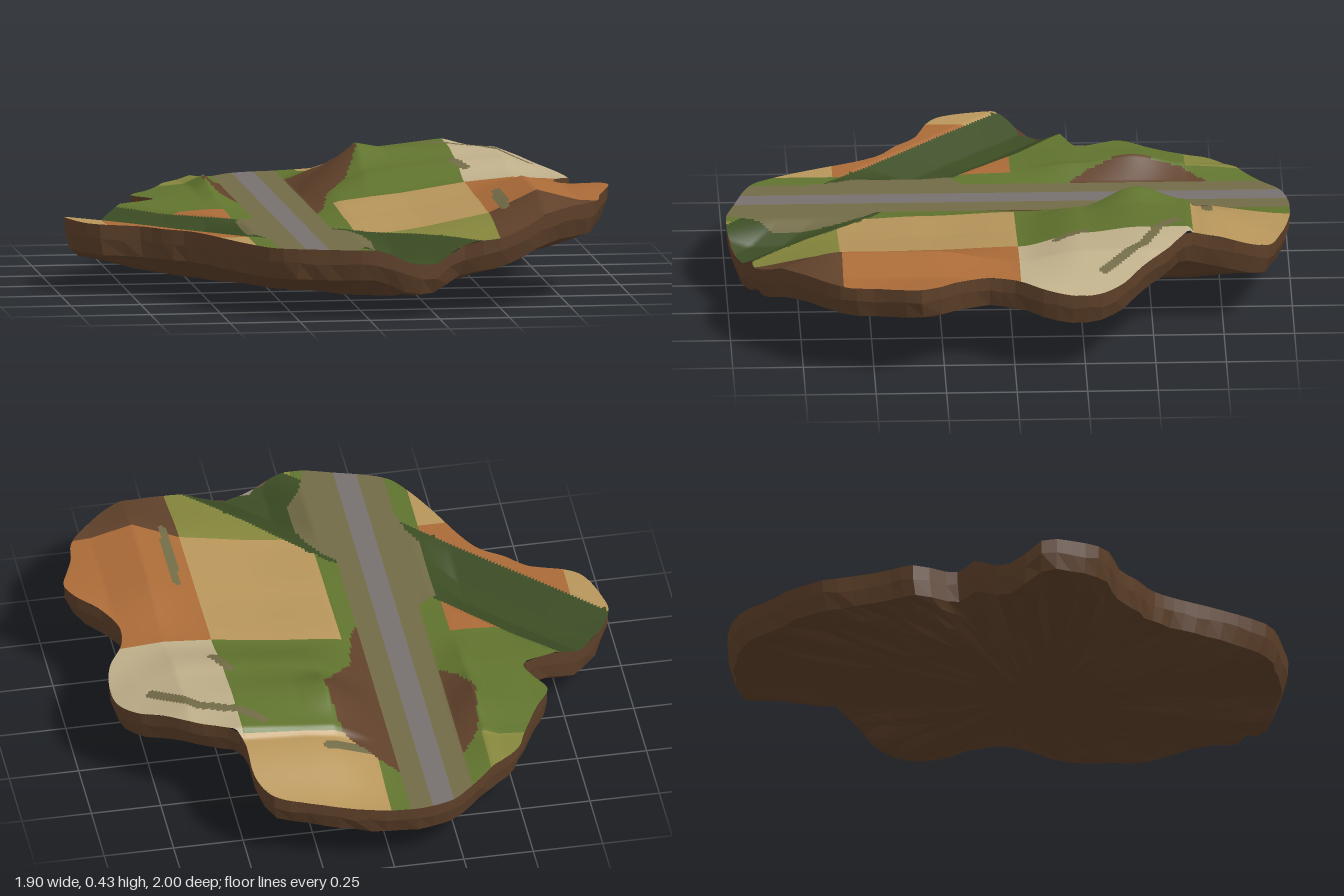
import * as THREE from 'three';

// one material per ground colour
const mat = (name, color) => Object.assign(new THREE.MeshStandardMaterial({ color }), { name });
const materials = {
  grass: mat('grass green', 0x61742e),
  tanField: mat('tan crop', 0xb8965b),
  clayField: mat('orange clay', 0xab6b38),
  paleField: mat('pale soil', 0xbfaf8a),
  oliveField: mat('olive crop', 0x85863c),
  ditch: mat('dark green', 0x3c4d24),
  road: mat('road grey', 0x77726e),
  verge: mat('verge khaki', 0x726b47),
  cutting: mat('bare dirt', 0x61422b),
};
const earth = mat('earth brown', 0x5f412a);

// island outline as x, z pairs
const OUTLINE = [
  -0.22, -0.97, -0.1, -1, 0, -1, 0.15, -0.98, 0.3, -0.95, 0.42, -0.91, 0.47, -0.83, 0.485, -0.65,
  0.55, -0.59, 0.65, -0.53, 0.75, -0.44, 0.82, -0.38, 0.87, -0.3, 0.88, -0.2, 0.86, -0.1, 0.8, 0,
  0.79, 0.1, 0.84, 0.2, 0.92, 0.28, 0.945, 0.34, 0.92, 0.42, 0.89, 0.5, 0.87, 0.6, 0.78, 0.71,
  0.66, 0.82, 0.5, 0.91, 0.42, 0.92, 0.33, 0.91, 0.25, 0.95, 0.12, 0.99, -0.02, 1, -0.13, 0.97,
  -0.32, 0.9, -0.38, 0.82, -0.45, 0.68, -0.52, 0.52, -0.57, 0.44, -0.65, 0.38, -0.72, 0.31,
  -0.85, 0.26, -0.9, 0.22, -0.945, 0.1, -0.955, 0, -0.88, -0.08, -0.74, -0.2, -0.6, -0.26,
  -0.62, -0.33, -0.66, -0.41, -0.6, -0.51, -0.53, -0.65, -0.5, -0.72, -0.38, -0.83, -0.28, -0.92,
];

// piecewise linear lookup through [position, value] pairs
function ramp(pairs, t) {
  if (t <= pairs[0][0]) return pairs[0][1];
  for (let i = 1; i < pairs.length; i++) {
    const [a, va] = pairs[i - 1], [b, vb] = pairs[i];
    if (t <= b) return va + (vb - va) * (t - a) / (b - a || 1);
  }
  return pairs[pairs.length - 1][1];
}

// outline radius by angle, from a smooth closed curve
const corners = [];
for (let i = 0; i < OUTLINE.length; i += 2) corners.push(new THREE.Vector3(OUTLINE[i], 0, OUTLINE[i + 1]));
const polar = new THREE.CatmullRomCurve3(corners, true).getPoints(220).slice(1)
  .map((p) => [Math.atan2(p.z, p.x), Math.hypot(p.x, p.z)])
  .sort((a, b) => a[0] - b[0]);
const TAU = Math.PI * 2, last = polar[polar.length - 1], first = polar[0];
polar.unshift([last[0] - TAU, last[1]]);
polar.push([first[0] + TAU, first[1]]);
const rimRadius = (angle) => ramp(polar, angle);

// terrain heights: flat road trench with hills on both sides, rows run back to front
const HX = [-0.95, -0.6, -0.44, -0.39, -0.3, -0.06, 0.03, 0.15, 0.25, 0.48, 0.65, 0.8, 0.95];
const HZ = [-1, -0.66, -0.62, -0.45, -0.25, -0.02, 0.3, 0.6, 1];
const H = [
  [0.25, 0.25, 0.25, 0.25, 0.25, 0.25, 0.255, 0.265, 0.28, 0.3, 0.31, 0.31, 0.31],
  [0.25, 0.25, 0.26, 0.28, 0.25, 0.25, 0.3, 0.345, 0.36, 0.375, 0.33, 0.31, 0.3],
  [0.25, 0.25, 0.265, 0.29, 0.25, 0.25, 0.31, 0.375, 0.385, 0.41, 0.37, 0.32, 0.3],
  [0.25, 0.26, 0.28, 0.32, 0.25, 0.25, 0.325, 0.425, 0.405, 0.41, 0.4, 0.34, 0.29],
  [0.25, 0.265, 0.275, 0.29, 0.25, 0.25, 0.295, 0.35, 0.365, 0.39, 0.395, 0.345, 0.29],
  [0.25, 0.25, 0.26, 0.26, 0.25, 0.25, 0.28, 0.295, 0.305, 0.34, 0.355, 0.345, 0.33],
  [0.255, 0.25, 0.25, 0.25, 0.25, 0.25, 0.265, 0.275, 0.285, 0.33, 0.4, 0.36, 0.375],
  [0.25, 0.25, 0.25, 0.25, 0.25, 0.25, 0.25, 0.26, 0.275, 0.32, 0.4, 0.36, 0.35],
  [0.25, 0.25, 0.25, 0.25, 0.25, 0.25, 0.25, 0.25, 0.25, 0.265, 0.3, 0.31, 0.31],
];
const clamp01 = (v) => Math.min(1, Math.max(0, v));
const rowPairs = H.map((row) => row.map((y, i) => [HX[i], y]));
function height(x, z) {
  let k = 0;
  while (k < HZ.length - 2 && z > HZ[k + 1]) k++;
  const s = THREE.MathUtils.smoothstep(z, HZ[k], HZ[k + 1]);
  const base = THREE.MathUtils.lerp(ramp(rowPairs[k], x), ramp(rowPairs[k + 1], x), s);
  // diagonal ditch, interrupted by the road causeway
  const fade = clamp01((Math.abs(x + 0.18) - 0.17) / 0.12);
  return base - 0.06 * fade * clamp01((0.23 - Math.abs(x - z + 0.75)) / 0.17);
}

// worn tracks painted on the fields
const TRACKS = [
  [0.04, -0.7, 0.18, -0.7], [0.4, -0.58, 0.47, -0.52], [0.47, -0.52, 0.61, -0.46],
  [0.61, -0.46, 0.75, -0.32], [0.46, -0.25, 0.5, -0.16], [0.545, 0.31, 0.535, 0.64],
];
function onTrack(x, z) {
  return TRACKS.some(([ax, az, bx, bz]) => {
    const dx = bx - ax, dz = bz - az;
    const t = clamp01(((x - ax) * dx + (z - az) * dz) / (dx * dx + dz * dz));
    return Math.hypot(x - ax - dx * t, z - az - dz * t) < 0.018;
  });
}

// which ground covers a point
const VERGE_L = [[0.16, -0.3], [0.2, -0.37], [0.52, -0.37], [0.6, -0.33], [0.7, -0.31]];
const VERGE_R = [[0.47, -0.06], [0.5, -0.02], [0.6, 0.03], [0.68, 0.05], [0.84, 0.05], [0.88, 0], [0.98, -0.03]];
const CUT_L = [[-0.72, -0.3], [-0.62, -0.37], [-0.42, -0.4], [-0.3, -0.36], [-0.22, -0.3]];
const CUT_R = [[-0.78, -0.06], [-0.74, 0], [-0.64, 0.12], [-0.42, 0.15], [-0.28, 0.09], [-0.18, 0.01], [0.02, -0.03], [0.08, -0.06]];
function zoneAt(x, z) {
  if (Math.abs(x + 0.18) < 0.04) return 'road';
  if (x > ramp(VERGE_L, z) && x < ramp(VERGE_R, z)) return 'verge';
  if (x > ramp(CUT_L, z) && x < ramp(CUT_R, z)) return 'cutting';
  if (x - z > -0.97 && x - z < (x < -0.2 ? -0.54 : -0.5)) return 'ditch';
  if (onTrack(x, z)) return 'verge';
  const row = z < -0.64 ? 0 : z < -0.02 ? 1 : z < 0.61 ? 2 : 3;
  if (x > 0.48) return ['paleField', 'paleField', 'clayField', 'cutting'][row];
  if (x > 0.015) return ['tanField', 'grass', 'tanField', 'oliveField'][row];
  if (x > -0.38) return 'grass';
  return ['oliveField', 'grass', x < -0.84 ? 'tanField' : 'clayField', 'tanField'][row];
}

// ground surface: a fine grid pulled in to the outline, one mesh per ground cover
function addGround(group) {
  const N = 200, step = 2 / N, pos = [], inside = [], all = [], zones = {};
  for (let j = 0; j <= N; j++) for (let i = 0; i <= N; i++) {
    let x = i * step - 1, z = j * step - 1;
    const d = Math.hypot(x, z), r = rimRadius(Math.atan2(z, x));
    inside.push(d <= r);
    if (d > r) { x *= r / d; z *= r / d; }
    pos.push(x, height(x, z), z);
  }
  for (let j = 0; j < N; j++) for (let i = 0; i < N; i++) {
    const a = j * (N + 1) + i, b = a + 1, d = a + N + 1, c = d + 1;
    if (![a, b, c, d].some((v) => inside[v])) continue;
    const zone = zoneAt((i + 0.5) * step - 1, (j + 0.5) * step - 1);
    const faces = [a, d, c, a, c, b];
    (zones[zone] ||= []).push(...faces);
    all.push(...faces);
  }
  const whole = new THREE.BufferGeometry();
  whole.setAttribute('position', new THREE.Float32BufferAttribute(pos, 3));
  whole.setIndex(all);
  whole.computeVertexNormals();
  for (const [name, index] of Object.entries(zones)) {
    const g = new THREE.BufferGeometry();
    g.setAttribute('position', whole.attributes.position);
    g.setAttribute('normal', whole.attributes.normal);
    g.setIndex(index);
    const mesh = new THREE.Mesh(g, materials[name]);
    mesh.name = name;
    group.add(mesh);
  }
}

// earth body: hidden lip, rim wall and faceted bowl underneath, as rings from the rim to the middle
function earthBody() {
  let seed = 7;
  const rand = () => (seed = (seed * 16807) % 2147483647) / 2147483647 - 0.5;
  const SEG = 110, rings = [0.98, 1, 0.997, 0.975, 0.86, 0.7, 0.52, 0.34, 0.17, 0], pos = [], index = [];
  rings.forEach((f, k) => {
    for (let i = 0; i < SEG; i++) {
      const angle = (i / SEG) * TAU - Math.PI, r = rimRadius(angle);
      const cx = Math.cos(angle) * r, cz = Math.sin(angle) * r, top = height(cx, cz);
      const rough = k > 3 ? f : 0;
      const s = f + (k === 3 ? rand() * 0.015 : rough * rand() * 0.06);
      const inward = k > 2 ? 1 - f : 0; // the lowest point lies off centre
      let y = top;
      if (k === 0) y = top - 0.015;
      if (k === 2) y = top - 0.05 + rand() * 0.012;
      if (k > 2) y = (top - 0.105) * Math.pow(f, 1.7) + rough * rand() * 0.022;
      pos.push(cx * s - 0.2 * inward, Math.max(0, y), cz * s + 0.05 * inward);
    }
  });
  for (let k = 0; k < rings.length - 1; k++) for (let i = 0; i < SEG; i++) {
    const n = (i + 1) % SEG, a = k * SEG + i, b = k * SEG + n, c = a + SEG, d = b + SEG;
    index.push(a, b, c);
    if (k < rings.length - 2) index.push(b, d, c);
  }
  const g = new THREE.BufferGeometry();
  g.setAttribute('position', new THREE.Float32BufferAttribute(pos, 3));
  g.setIndex(index);
  const flat = g.toNonIndexed();
  flat.computeVertexNormals();
  const mesh = new THREE.Mesh(flat, earth);
  mesh.name = 'earthBody';
  return mesh;
}

export function createModel() {
  const group = new THREE.Group();
  group.name = 'farmlandIsland';
  addGround(group);
  group.add(earthBody());
  return group;
}
